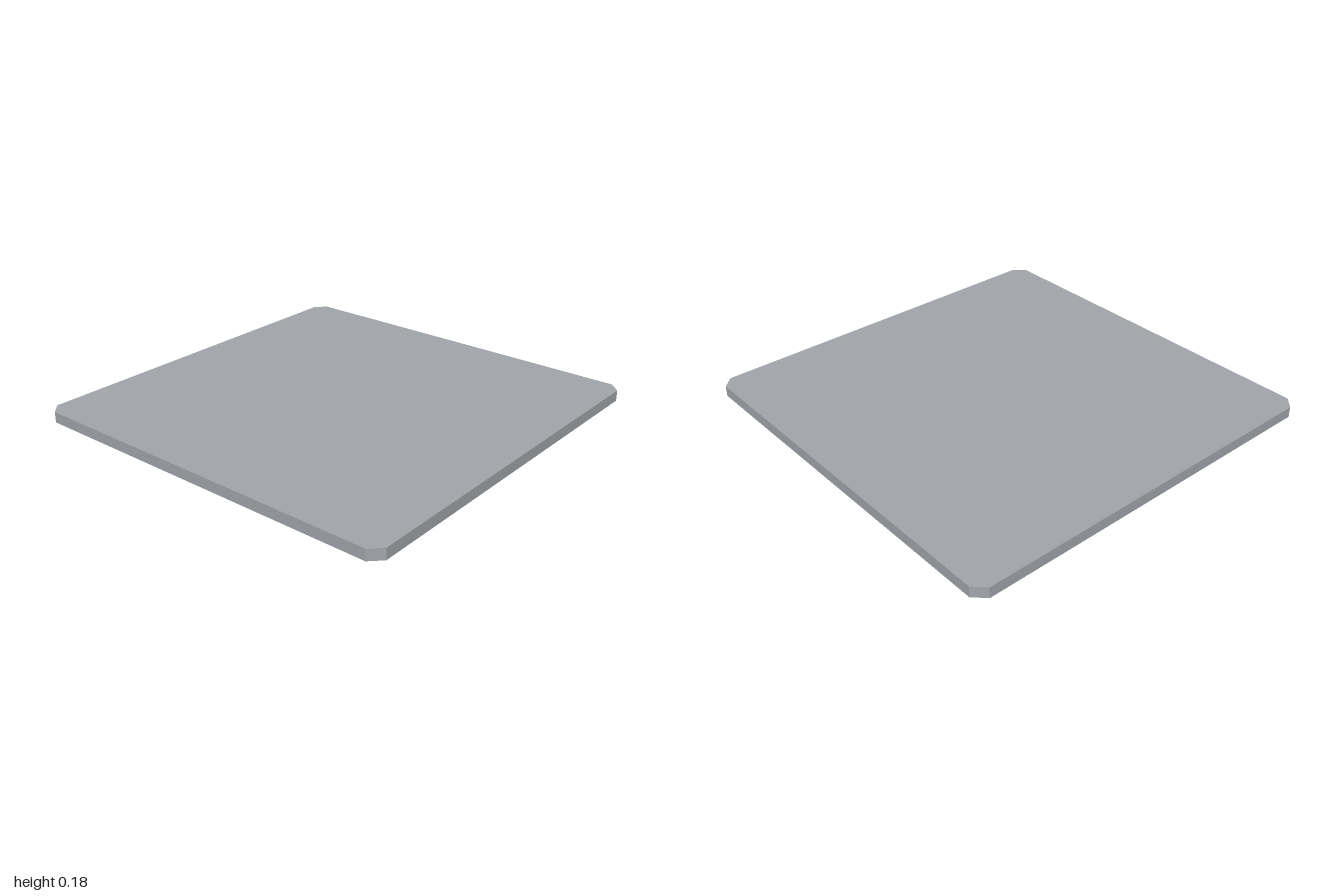
import * as THREE from 'three';

const slopeY = (r) => Math.max(0, (r - 0.65) * 0.125 / 0.35);

// Chamfered square outline with half width h and corner cut c
const octagon = (h, c) => [
  [h - c, h], [-h + c, h], [-h, h - c], [-h, -h + c],
  [-h + c, -h], [h - c, -h], [h, -h + c], [h, h - c],
].map(([x, y]) => new THREE.Vector2(x, y));

const points = (list) => list.map(([x, y]) => new THREE.Vector2(x, y));

// Downward-facing sheet: outline is (x, z), height follows a rule
function sheet(outline, hole, heightOf) {
  const shape = new THREE.Shape(outline);
  if (hole) shape.holes.push(new THREE.Path(hole));
  const geo = new THREE.ShapeGeometry(shape);
  const p = geo.attributes.position;
  for (let i = 0; i < p.count; i++) {
    const x = p.getX(i), z = p.getY(i);
    p.setXYZ(i, x, heightOf(z), z);
  }
  geo.computeVertexNormals();
  return geo;
}

// Upright walls from the rim of an opening up to a level
function walls(loop, heightOf, top) {
  const pos = [];
  loop.forEach((a, i) => {
    const b = loop[(i + 1) % loop.length];
    const a0 = [a.x, heightOf(a.y), a.y], b0 = [b.x, heightOf(b.y), b.y];
    const a1 = [a.x, top, a.y], b1 = [b.x, top, b.y];
    pos.push(...a0, ...b0, ...b1, ...a0, ...b1, ...a1);
  });
  const geo = new THREE.BufferGeometry();
  geo.setAttribute('position', new THREE.Float32BufferAttribute(pos, 3));
  geo.computeVertexNormals();
  return geo;
}

export function createModel() {
  const model = new THREE.Group();
  const casing = new THREE.MeshStandardMaterial({ color: 0xa2a6ab, side: THREE.DoubleSide });
  casing.name = 'casing grey';
  const dark = new THREE.MeshStandardMaterial({ color: 0x5c5f66, side: THREE.DoubleSide });
  dark.name = 'grille grey';

  const add = (parent, name, geo, mat) => {
    const mesh = new THREE.Mesh(geo, mat);
    mesh.name = name;
    parent.add(mesh);
    return mesh;
  };

  // Flat slab with cut corners
  const slab = new THREE.ExtrudeGeometry(new THREE.Shape(octagon(1, 0.055)), { depth: 0.055, bevelEnabled: false });
  slab.rotateX(-Math.PI / 2).translate(0, 0.125, 0);
  add(model, 'topSlab', slab, casing);

  // Flat underside frame around the recessed intake panel
  const flat = () => 0;
  const opening = octagon(0.53, 0.06);
  add(model, 'undersideFrame', sheet(octagon(0.65, 0.05), opening, flat), casing);
  add(model, 'intakeRim', walls(opening, flat, 0.014), casing);
  add(model, 'intakePanel', sheet(octagon(0.53, 0.06), null, () => 0.012), dark);

  // Four sloping sides, each with an air outlet and a louver
  const face = points([[-0.6, 0.65], [0.6, 0.65], [0.945, 1], [-0.945, 1]]);
  const slot = points([[-0.53, 0.785], [0.53, 0.785], [0.62, 0.92], [-0.62, 0.92]]);
  for (let i = 0; i < 4; i++) {
    const side = new THREE.Group();
    side.name = 'side' + (i + 1);
    side.rotation.y = i * Math.PI / 2;
    add(side, 'slopingFace', sheet(face, slot, slopeY), casing);
    add(side, 'outletWalls', walls(slot, slopeY, 0.122), casing);
    add(side, 'outletRecess', sheet(slot, null, () => 0.121), dark);

    const louver = add(side, 'louver', new THREE.BoxGeometry(1.07, 0.066, 0.009), casing);
    louver.position.set(0, 0.088, 0.832);
    louver.rotation.x = -0.4;

    // Corner facet joining this side to the next
    const corner = new THREE.BufferGeometry();
    corner.setAttribute('position', new THREE.Float32BufferAttribute([
      0.6, 0, 0.65, 0.65, 0, 0.6, 1, 0.125, 0.945, 0.945, 0.125, 1,
    ], 3));
    corner.setIndex([0, 1, 2, 0, 2, 3]);
    corner.computeVertexNormals();
    add(side, 'cornerFacet', corner, casing);
    model.add(side);
  }
  return model;
}
